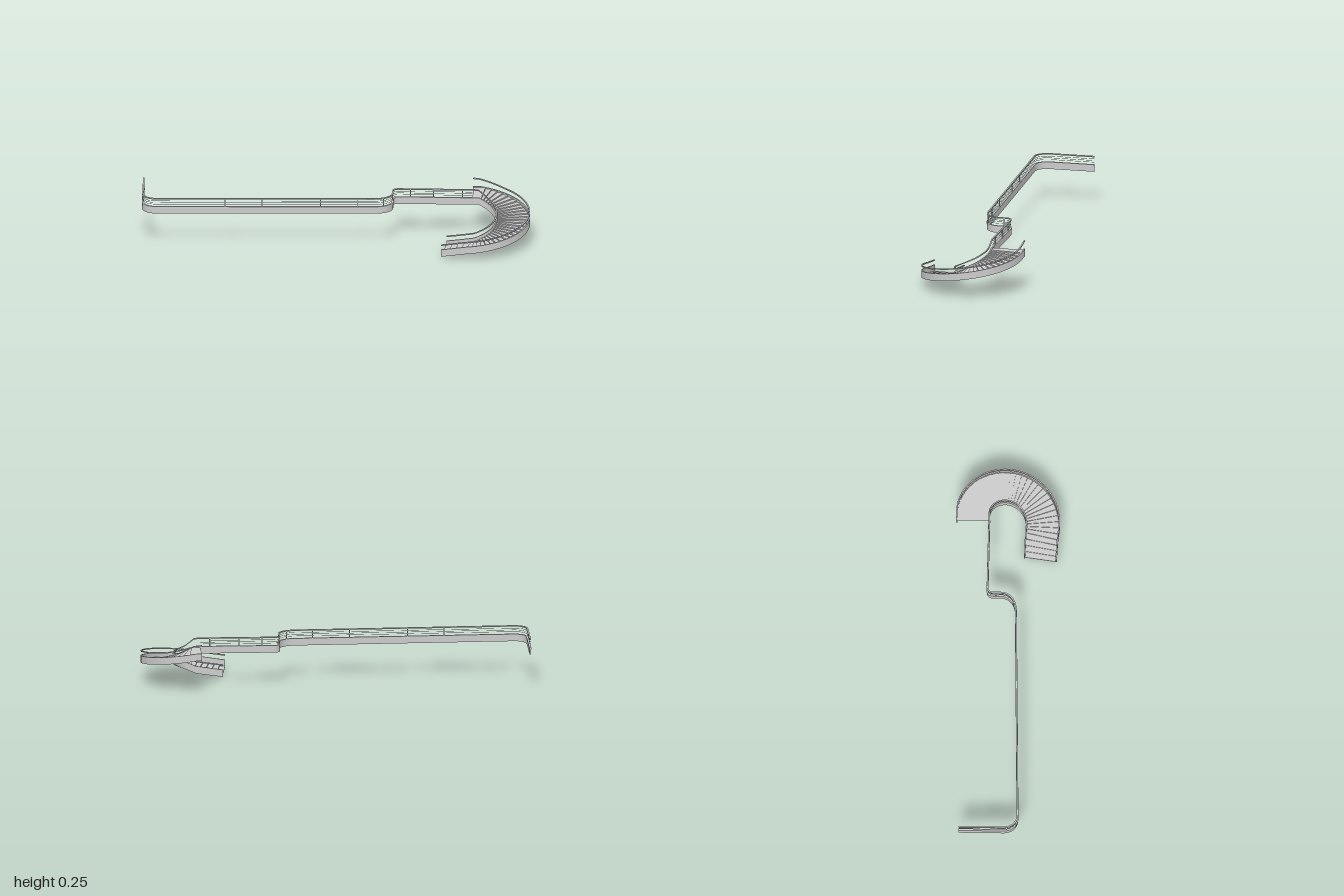
import * as THREE from 'three';

const material = new THREE.MeshStandardMaterial({ color: 0xcccccc, side: THREE.DoubleSide });

function geometryFrom(pos, idx) {
  const g = new THREE.BufferGeometry();
  g.setAttribute('position', new THREE.Float32BufferAttribute(pos, 3));
  g.setIndex(idx);
  g.computeVertexNormals();
  return g;
}

// Upright rectangular bar of width w, from y + lo to y + hi along a path of points
function sweep(points, w, lo, hi) {
  const pos = [], idx = [];
  const corners = points.map((p, i) => {
    const a = points[Math.max(i - 1, 0)], b = points[Math.min(i + 1, points.length - 1)];
    const len = Math.hypot(b.x - a.x, b.z - a.z);
    const nx = -(b.z - a.z) / len * w / 2, nz = (b.x - a.x) / len * w / 2;
    return [[1, lo], [1, hi], [-1, hi], [-1, lo]].map(([s, h]) => [p.x + s * nx, p.y + h, p.z + s * nz]);
  });
  for (let k = 0; k < 4; k++) {
    const base = pos.length / 3;
    corners.forEach((c, i) => {
      pos.push(...c[k], ...c[(k + 1) % 4]);
      if (i) {
        const a = base + 2 * i - 2;
        idx.push(a, a + 2, a + 1, a + 1, a + 2, a + 3);
      }
    });
  }
  // End caps
  [corners[0], corners[corners.length - 1]].forEach((c, end) => {
    const b = pos.length / 3;
    c.forEach(v => pos.push(...v));
    idx.push(...(end ? [b, b + 3, b + 2, b, b + 2, b + 1] : [b, b + 1, b + 2, b, b + 2, b + 3]));
  });
  return geometryFrom(pos, idx);
}

// Plan of the stair edges: straight start, arc, short level tail at the landing
const CX = 0.732, A0 = 1.8, A1 = -Math.PI / 2, STRAIGHT = 0.13, TAIL = 0.95, END_X = 0.7;
const outer = { r: 0.264, x: 0.548, z: 0.25, y0: 0.015 };
const inner = { r: 0.096, x: 0.57, z: 0.087, y0: 0.002 };
const TOP = 0.172, DEPTH = 0.038;

// Share of the climb reached at t; the tail is level
const rise = t => Math.min(1, t / TAIL) ** 1.1;

function stairPoint(edge, t, y) {
  const u = THREE.MathUtils.clamp((t - STRAIGHT) / (TAIL - STRAIGHT), 0, 1);
  const a = A0 + (A1 - A0) * u;
  const p = new THREE.Vector3(CX + edge.r * Math.cos(a), y, edge.r * Math.sin(a));
  if (t < STRAIGHT) p.lerp(new THREE.Vector3(edge.x, y, edge.z), 1 - t / STRAIGHT);
  if (t > TAIL) p.x += (END_X - CX) * (t - TAIL) / (1 - TAIL);
  return p;
}

// Points along a stair edge; lift raises the end of the path
function edgePath(edge, lift = 0, n = 80) {
  return Array.from({ length: n + 1 }, (_, i) => {
    const t = i / n;
    const y = edge.y0 + (TOP - edge.y0) * rise(t) + lift * THREE.MathUtils.smoothstep(t, 0.8, 1);
    return stairPoint(edge, t, y);
  });
}

// Gallery edge in plan, with rounded corners
function galleryPath() {
  const s = new THREE.Path();
  s.moveTo(-0.996, -0.23);
  s.lineTo(-0.996, 0);
  s.bezierCurveTo(-0.996, 0.043, -0.967, 0.073, -0.925, 0.072);
  s.lineTo(0.2, 0.048);
  s.bezierCurveTo(0.25, 0.046, 0.29, 0.015, 0.29, -0.03);
  s.lineTo(0.29, -0.068);
  s.quadraticCurveTo(0.29, -0.1, 0.32, -0.1);
  s.lineTo(END_X, -inner.r);
  return s.getPoints(14).map(p => new THREE.Vector3(p.x, 0, p.y));
}

export function createModel() {
  const model = new THREE.Group();
  const add = (name, geometry, parent = model) => {
    const m = new THREE.Mesh(geometry, material);
    m.name = name;
    parent.add(m);
    return m;
  };

  // Stringers and handrails on both sides of the stair
  for (const [side, edge] of [['outer', outer], ['inner', inner]]) {
    add(side + 'Stringer', sweep(edgePath(edge), 0.007, 0, DEPTH));
    add(side + 'Handrail', sweep(edgePath(edge, 0.018), 0.007, 0.059, 0.065));
  }

  // Stepped flight: a riser and a wedge tread for each step, then the landing
  const STEPS = 32, pos = [], idx = [];
  const quad = (...c) => {
    const b = pos.length / 3;
    c.forEach(p => pos.push(p.x, p.y, p.z));
    idx.push(b, b + 1, b + 2, b, b + 2, b + 3);
  };
  const tread = (t0, t1, y) => quad(stairPoint(inner, t0, y), stairPoint(outer, t0, y),
    stairPoint(outer, t1, y), stairPoint(inner, t1, y));
  const stepY = t => 0.016 + 0.188 * rise(t);
  for (let i = 0; i < STEPS; i++) {
    const t0 = TAIL * i / STEPS, t1 = TAIL * (i + 1) / STEPS;
    const y0 = stepY(t0), y1 = stepY(t1);
    quad(stairPoint(outer, t0, y0), stairPoint(outer, t0, y1),
      stairPoint(inner, t0, y1), stairPoint(inner, t0, y0));
    tread(t0, t1, y1);
  }
  tread(TAIL, 1, stepY(1));
  add('steps', geometryFrom(pos, idx));

  // Gallery fascia with its cap, handrail and wires
  const gallery = galleryPath();
  add('galleryFascia', sweep(gallery, 0.007, TOP, 0.199));
  add('galleryFasciaCap', sweep(gallery, 0.01, 0.199, TOP + DEPTH));
  add('galleryHandrail', sweep(gallery, 0.008, 0.249, 0.255));
  for (const y of [0.221, 0.23, 0.239]) {
    add('galleryWire', sweep(gallery, 0.0015, y, y + 0.0015));
  }

  // Balustrade posts
  const posts = new THREE.Group();
  posts.name = 'balustradePosts';
  model.add(posts);
  const spots = [-0.57, -0.38, -0.08, 0.11].map(x => [x, 0.072 - (x + 0.925) * 0.0213]);
  spots.push([0.245, 0.037], [0.29, -0.057], [0.38, -0.1], [0.5, -0.098], [0.65, -0.097]);
  for (const [x, z] of spots) {
    add('post', new THREE.BoxGeometry(0.005, 0.042, 0.005), posts).position.set(x, 0.23, z);
  }
  return model;
}
